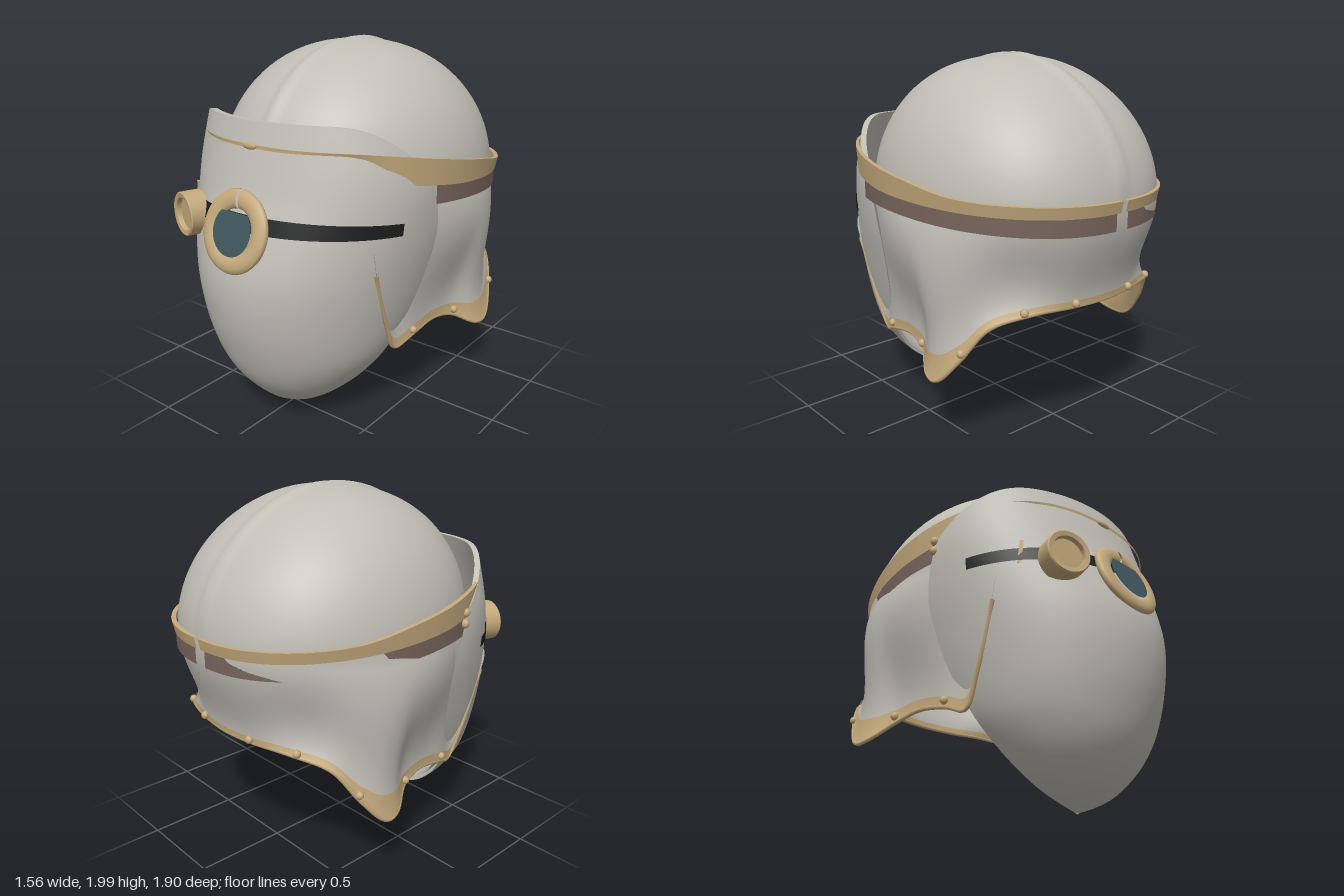
import * as THREE from 'three';
import { mergeVertices, toCreasedNormals } from 'three/addons/utils/BufferGeometryUtils.js';

const V = (x, y, z) => new THREE.Vector3(x, y, z);
const { lerp, smoothstep } = THREE.MathUtils;
const gauss = (x, c, w) => Math.exp(-(((x - c) / w) ** 2));

// Surface from a rule fn(u, v) -> Vector3
function grid(nu, nv, fn) {
  const pos = [], idx = [];
  for (let j = 0; j <= nv; j++)
    for (let i = 0; i <= nu; i++) pos.push(...fn(i / nu, j / nv, j).toArray());
  for (let j = 0; j < nv; j++)
    for (let i = 0; i < nu; i++) {
      const a = j * (nu + 1) + i, b = a + nu + 1;
      idx.push(a, b, a + 1, b, b + 1, a + 1);
    }
  let g = new THREE.BufferGeometry();
  g.setAttribute('position', new THREE.Float32BufferAttribute(pos, 3));
  g.setIndex(idx);
  g = mergeVertices(g);
  g.computeVertexNormals();
  return g;
}

// Smooth interpolation through [key, value] pairs
function curve(keys) {
  const n = keys.length;
  const slope = i => {
    const a = keys[Math.max(i - 1, 0)], b = keys[Math.min(i + 1, n - 1)];
    return (b[1] - a[1]) / (b[0] - a[0]);
  };
  return x => {
    x = Math.min(Math.max(x, keys[0][0]), keys[n - 1][0]);
    let i = 0;
    while (i < n - 2 && x > keys[i + 1][0]) i++;
    const [x0, y0] = keys[i], [x1, y1] = keys[i + 1], h = x1 - x0, t = (x - x0) / h;
    return y0 * (1 + 2 * t) * (1 - t) ** 2 + y1 * t * t * (3 - 2 * t)
      + h * (slope(i) * t * (1 - t) ** 2 - slope(i + 1) * t * t * (1 - t));
  };
}

// Lower edge of the shell: brow, cheek, flared neck guard, nape
const halfRim = [[0, 1.23, .72], [.3, 1.23, .64], [.5, 1.2, .5], [.6, 1.05, .555], [.592, .85, .5], [.58, .6, .4],
  [.57, .44, .31], [.6, .475, .2], [.62, .51, 0], [.65, .48, -.15], [.73, .4, -.29], [.74, .4, -.38],
  [.69, .54, -.51], [.6, .71, -.62], [.42, .775, -.74], [.2, .78, -.8], [0, .78, -.82]].map(p => V(...p));
const mirrored = halfRim.slice(1, -1).reverse().map(p => V(-p.x, p.y, p.z));
const rim = new THREE.CatmullRomCurve3([...halfRim, ...mirrored], true, 'centripetal');

// Shell: v 0 = crown, .5 = widest ring, 1 = rim
function shellPoint(P, v, off = 0) {
  const zc = -.14, depth = P.z > zc ? .86 : .79;
  const phi = Math.atan2(P.x / .73, (P.z - zc) / depth), s = Math.sin(phi), c = Math.cos(phi);
  // the back half is a little squarer in plan than the front
  const ex = .73 * Math.sign(s) * Math.abs(s) ** (c < 0 ? .87 : 1), ez = depth * c;
  if (v <= .5) {
    const a = Math.PI / 2 * (1 - 2 * v), r = Math.max(Math.cos(a), 0) ** (.88 - .105 * c + .115 * c * c);
    const p = V(ex * r, .735 * Math.sin(a), ez * r);
    // soft centre crease, meeting in a small point at the crown
    p.multiplyScalar(1 + .02 * gauss(p.x, 0, .035) * smoothstep(a, 0, .3));
    return p.add(V(0, 1.25, zc));
  }
  const h = 1.25 - P.y, deg = Math.abs(phi) * 180 / Math.PI, t = 2 * v - 1;
  const out = 1 + .15 * gauss(deg, 97, 28);
  const pinch = lerp(.98, .87, smoothstep(deg, 75, 105)) + .14 * smoothstep(deg, 130, 165);
  const p = new THREE.CubicBezierCurve3(V(ex, 1.25, zc + ez), V(ex * out, 1.25 - .38 * h, zc + ez * out),
    V(P.x * pinch, P.y + .33 * h, zc + (P.z - zc) * pinch), P).getPoint(t);
  const d = V(P.x, 0, P.z - zc).normalize();
  return p.addScaledVector(d, off);
}

// Face mask: front depth, rear edge and half width by height
const maskFront = curve([[.01, .48], [.03, .53], [.1, .65], [.27, .8], [.5, .895], [.7, .937], [.85, .943], [.95, .928], [1.1, .885], [1.3, .812], [1.52, .748], [1.65, .71]]);
const maskRear = curve([[.01, .47], [.42, .31], [.72, .2], [1, .15], [1.15, .16], [1.34, .2], [1.65, .21]]);
const maskWide = curve([[.01, .01], [.04, .1], [.1, .225], [.2, .35], [.3, .44], [.42, .52], [.6, .59], [.85, .66], [1.1, .712], [1.35, .72], [1.65, .67]]);
function maskPoint(t, y, off = 0) {
  const r = maskRear(y), w = Math.max(maskWide(y) + off, .003), f = Math.max(maskFront(y) + off, r);
  return V(w * Math.sin(t), y, r + (f - r) * Math.cos(t));
}
const maskTop = t => 1.36 + .285 * Math.sin(Math.min(1, Math.max(Math.cos(t), 0) / .82) * Math.PI / 2);

// Brow band: edge heights by z
const tanTop = curve([[-.95, 1.31], [-.5, 1.34], [-.2, 1.4], [0, 1.435], [.22, 1.475], [.57, 1.53], [.8, 1.54]]);
const tanLow = curve([[-.95, 1.25], [-.5, 1.275], [0, 1.315], [.2, 1.34], [.37, 1.37], [.57, 1.51], [.8, 1.52]]);
const darkLow = curve([[-.95, 1.16], [-.5, 1.19], [0, 1.23], [.22, 1.245]]);
function bandPoint(phi, off, yOf) {
  const s = Math.sin(phi), c = Math.cos(phi);
  const z = -.05 + c * (c > 0 ? .8 : .888 + off);
  return V((.768 + off) * Math.sign(s) * Math.abs(s) ** .85, yOf(z), z);
}

export function createModel() {
  const model = new THREE.Group();
  const mat = (name, color) => {
    const m = new THREE.MeshStandardMaterial({ color, side: THREE.DoubleSide });
    m.name = name;
    return m;
  };
  const grey = mat('pale grey', 0xc1beb6), tan = mat('tan', 0xc4a97c), brown = mat('dark brown', 0x76645b);
  const black = mat('black', 0x1c1d1d), glass = mat('blue grey glass', 0x3f565d);
  const add = (name, geo, material, parent = model) => {
    const m = new THREE.Mesh(geo, material);
    m.name = name;
    parent.add(m);
    return m;
  };

  // Helmet shell and mask sit slightly to one side of the band
  const body = new THREE.Group();
  body.name = 'helmetBody';
  body.position.x = -.016;
  model.add(body);
  add('shell', grid(240, 44, (u, v) => shellPoint(rim.getPointAt(u % 1), v)), grey, body);

  // Trim along the lower edge, inside and outside, wide over the flare
  for (const off of [.01, -.01])
    add('edgeTrim', grid(200, 5, (u, v) => {
      const P = rim.getPointAt(lerp(.135, .865, u));
      const start = 1 - .035 - .045 * gauss(P.z, -.36, .17);
      return shellPoint(P, lerp(start, 1, v), off);
    }), tan, body);
  const edge = [];
  for (let i = 0; i <= 120; i++) edge.push(rim.getPointAt(lerp(.135, .865, i / 120)));
  add('edgeBead', new THREE.TubeGeometry(new THREE.CatmullRomCurve3(edge), 200, .012, 6), tan, body);

  // Rivets on the trim
  for (const z of [.2, -.15, -.51, -.72, -.8]) {
    const P = edge.filter(p => p.x > 0 && p.y < .85)
      .reduce((a, b) => Math.abs(b.z - z) < Math.abs(a.z - z) ? b : a);
    for (const s of [1, -1]) {
      const p = shellPoint(P, .98, .014);
      add('rivet', new THREE.SphereGeometry(.022, 10, 8), tan, body).position.set(s * p.x, p.y, p.z);
    }
  }

  // Face mask as a closed thin shell with a top lip
  const rows = 40;
  add('faceMask', toCreasedNormals(grid(128, rows + 1, (u, v, j) => {
    const outer = u <= .5, t = (outer ? 4 * u - 1 : 3 - 4 * u) * Math.PI / 2;
    const y = lerp(.005, maskTop(t), Math.min(1, j / rows) ** 1.4);
    return maskPoint(t, y, outer && j <= rows ? 0 : -.03);
  }), .7), grey, body);

  // Eye slit, seen from outside and inside
  for (const off of [.006, -.036])
    add('eyeSlit', grid(48, 2, (u, v) => {
      const t = lerp(-1.21, 1.21, u), c = Math.cos(t);
      return maskPoint(t, lerp(1.11 + .025 * c, 1.165 + .05 * c, v), off);
    }), black, body);

  // Brow band with a top lip, and a darker lower strap split at the back
  add('browBand', toCreasedNormals(grid(140, 2, (u, v, j) =>
    bandPoint(lerp(-3.13, 3.13, u), [0, .012, -.012][j], j ? tanTop : tanLow)), .6), tan);
  for (const s of [1, -1])
    add('lowerStrap', grid(60, 2, (u, v) => bandPoint(s * lerp(1.225, 3.11, u), -.006,
      z => lerp(darkLow(z), tanLow(z) + .01, v))), brown);
  for (const y of [1.31, 1.37])
    add('bandBolt', new THREE.SphereGeometry(.025, 10, 8), tan).position.set(-.735, y, .2);
  const boss = add('browBoss', new THREE.SphereGeometry(.04, 12, 8), tan);
  boss.scale.set(1.2, .45, .3);
  boss.position.set(-.02, 1.53, .75);

  // Central round eyepiece with a notch at the top
  const eye = new THREE.Group();
  eye.name = 'centreEyepiece';
  eye.position.set(-.02, 1.125, .872);
  eye.rotation.x = -.3;
  model.add(eye);
  const gap = .1;
  const ring = add('eyepieceRing', new THREE.TorusGeometry(.163, .05, 12, 48, Math.PI * 2 - gap), tan, eye);
  ring.rotation.z = Math.PI / 2 + gap / 2;
  ring.scale.z = .55;
  const disc = new THREE.Shape();
  disc.absarc(0, 0, .127, Math.PI - .82, Math.PI * 2 + .82, false);
  add('lens', new THREE.ShapeGeometry(disc, 40), glass, eye).position.z = .026;

  // Side scope: short tube with a recessed end
  const profile = [[0, .04], [.085, .04], [.088, .066], [.112, .07], [.118, .064], [.118, -.035], [0, -.035]]
    .map(p => new THREE.Vector2(...p));
  const scope = new THREE.Group();
  scope.name = 'sideScope';
  scope.position.set(-.4, 1.13, .795);
  scope.rotation.y = -.3;
  model.add(scope);
  const tube = add('scopeTube', toCreasedNormals(new THREE.LatheGeometry(profile, 36), .5), tan, scope);
  tube.rotation.x = Math.PI / 2;
  const arm = add('scopeBracket', new THREE.BoxGeometry(.02, .13, .02), tan);
  arm.position.set(-.535, 1.18, .64);
  arm.rotation.set(0, -.7, -.1);

  return model;
}
